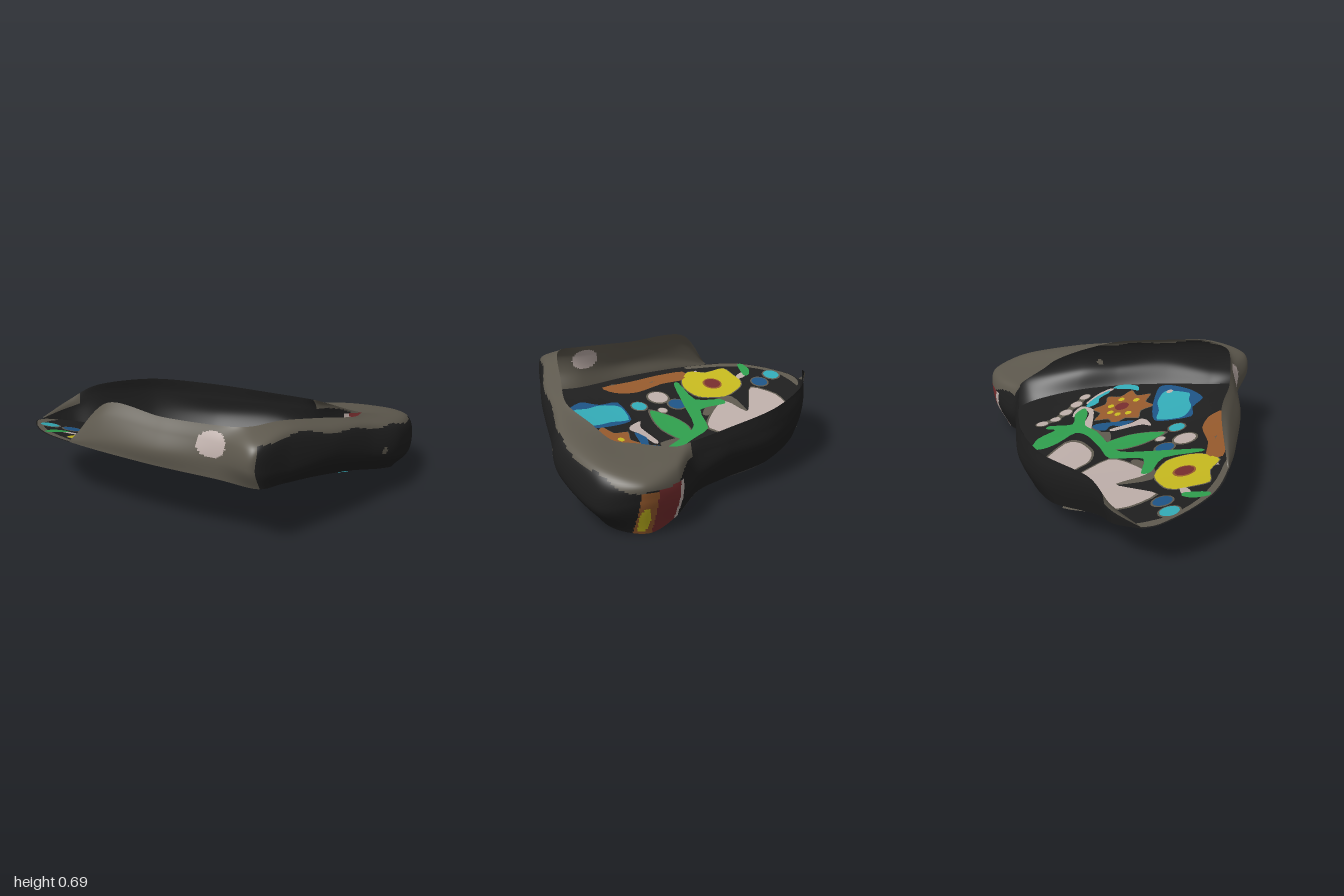
import * as THREE from 'three';
import { mergeGeometries, mergeVertices } from 'three/addons/utils/BufferGeometryUtils.js';

const V = (x, y, z) => new THREE.Vector3(x, y, z);
// Sloping floor: raised along the front, sagging in the middle, swelling beside the toe
const floorY = (x, z) => 0.2 - 0.24 * x + 0.07 * Math.max(0, z) ** 2 * Math.max(0, 1 - x * x) ** 2
  - 0.024 * Math.max(0, 1 - 1.2 * x * x - (z + .2) ** 2)
  + 0.04 * Math.exp(-(((x - .53) / .25) ** 2) - ((z - .15) / .28) ** 2);

function makeMaterials() {
  const colors = {
    black: 0x1f1f1f, taupe: 0x5e594e, offWhite: 0xbdaea9, yellow: 0xc6b91f, green: 0x2f9e4d,
    teal: 0x33abb7, blue: 0x1e5486, orange: 0x965a2d, red: 0x762d2e,
  };
  const mats = {};
  for (const [name, color] of Object.entries(colors)) {
    mats[name] = new THREE.MeshStandardMaterial({ color, side: THREE.DoubleSide });
    mats[name].name = name;
  }
  return mats;
}

// Wall cross-section rows, from the left wall's end, round the front and toe, to the back tip
const BASE = [[-.93, -.4], [-.92, -.15], [-.87, .2], [-.78, .55], [-.75, .8], [-.55, .82], [-.25, .84], [.1, .86],
  [.42, .87], [.72, .8], [.83, .61], [.74, .42], [.56, .22], [.44, 0], [.28, -.34], [.04, -.63], [-.28, -.79],
  [-.42, -.91], [-.6, -.98]].map(([x, z]) => [x, floorY(x, z), z]);
const OUTER = [[-.93, .43, -.4], [-.92, .5, -.15], [-.88, .5, .2], [-.79, .5, .55], [-.8, .5, .8], [-.55, .45, .87],
  [-.22, .42, .93], [.12, .33, .96], [.42, .25, .99], [.8, .18, .88], [.93, .23, .66], [.84, .2, .43], [.63, .21, .24],
  [.51, .25, 0], [.35, .25, -.35], [.09, .3, -.65], [-.26, .37, -.82], [-.42, .36, -.925], [-.6, .347, -.98]];
const SHOULDER = [[-.93, .44, -.39], [-.88, .61, -.17], [-.84, .6, .2], [-.77, .6, .56], [-.78, .62, .8], [-.53, .64, .86],
  [-.2, .57, .92], [.13, .5, .94], [.43, .44, .965], [.78, .38, .85], [.9, .35, .65], [.81, .35, .43], [.62, .34, .26],
  [.51, .35, 0], [.35, .36, -.35], [.1, .41, -.66], [-.25, .45, -.83], [-.42, .4, -.93], [-.6, .35, -.983]];
const RIM = [[-.92, .45, -.38], [-.83, .68, -.18], [-.8, .67, .2], [-.73, .68, .57], [-.67, .69, .7], [-.5, .69, .77],
  [-.2, .63, .82], [.1, .56, .86], [.33, .5, .78], [.49, .44, .7], [.54, .42, .57], [.61, .4, .38], [.59, .41, .26],
  [.49, .43, 0], [.33, .46, -.36], [.08, .5, -.66], [-.25, .51, -.83], [-.41, .43, -.935], [-.6, .352, -.985]];
const ROWS = [BASE, OUTER, SHOULDER, RIM].map(r =>
  new THREE.CatmullRomCurve3(r.map(p => V(...p)), false, 'catmullrom', 0.45));
const STATIONS = BASE.length - 1, SUB = 24;

// Colour of the wall at station s, height fraction v and point p
function wallColor(s, v, p) {
  if (s < 4.1) return ((p.z - .52) / .09) ** 2 + ((p.y - .58) / .07) ** 2 < 1 ? 'offWhite' : 'taupe';
  const z = p.z + .06 * (p.y - .15);
  if (s > 9.3 && s < 12 && v < .62 && p.y < .28 && z < .68) {
    if (((z - .635) / .033) ** 2 + ((p.y - .1) / .085) ** 2 < 1) return 'yellow';
    if (z > .575) return 'orange';
    if (z > .42) return 'red';
    if (z > .392) return 'offWhite';
  }
  if (s < 8 && Math.hypot(p.x - .27, p.y - .33) < .022) return 'taupe';
  const edge = .67 + .025 * Math.sin(s * 5) - .22 * Math.exp(-(((s - 10.3) / 1.1) ** 2));
  if (s < 11.9) return v > edge ? 'taupe' : 'black';
  return s > 16.6 && v > .5 ? 'taupe' : 'black';
}

function makeWall(mats) {
  const nu = STATIONS * SUB, nv = 40, pos = [], names = Object.keys(mats);
  for (let i = 0; i <= nu; i++) {
    const section = new THREE.CatmullRomCurve3(ROWS.map(r => r.getPoint(i / nu)), false, 'catmullrom', 0.5);
    for (let j = 0; j <= nv; j++) pos.push(...section.getPoint(j / nv).toArray());
  }
  const lists = Object.fromEntries(names.map(n => [n, []]));
  const at = k => V(pos[3 * k], pos[3 * k + 1], pos[3 * k + 2]);
  for (let i = 0; i < nu; i++) for (let j = 0; j < nv; j++) {
    const a = i * (nv + 1) + j, b = a + nv + 1;
    const mid = at(a).add(at(b + 1)).multiplyScalar(0.5);
    lists[wallColor((i + .5) / SUB, (j + .5) / nv, mid)].push(a, b, a + 1, b, b + 1, a + 1);
  }
  const geo = new THREE.BufferGeometry();
  const index = [];
  names.forEach((n, k) => {
    geo.addGroup(index.length, lists[n].length, k);
    for (const q of lists[n]) index.push(q);
  });
  geo.setAttribute('position', new THREE.Float32BufferAttribute(pos, 3));
  geo.setIndex(index);
  geo.computeVertexNormals();
  const mesh = new THREE.Mesh(geo, names.map(n => mats[n]));
  mesh.name = 'wall';
  return mesh;
}

// Sheet following the floor, offset by lift; long edges are halved so it bends with the floor
function sheet(points, lift) {
  const flat = new THREE.ShapeGeometry(new THREE.Shape(points.map(([x, z]) => new THREE.Vector2(x, z)))).toNonIndexed();
  const a = flat.attributes.position, pos = [];
  const split = tri => {
    const lengths = tri.map((p, k) => Math.hypot(p[0] - tri[(k + 1) % 3][0], p[1] - tri[(k + 1) % 3][1]));
    const k = lengths.indexOf(Math.max(...lengths));
    const [p, q, r] = [0, 1, 2].map(n => tri[(k + n) % 3]);
    if (lengths[k] < 0.09) {
      for (const [x, z] of tri) pos.push(x, floorY(x, z) + lift, z);
      return;
    }
    const m = [(p[0] + q[0]) / 2, (p[1] + q[1]) / 2];
    split([p, m, r]);
    split([m, q, r]);
  };
  for (let i = 0; i < a.count; i += 3) split([0, 1, 2].map(k => [a.getX(i + k), a.getY(i + k)]));
  const geo = new THREE.BufferGeometry();
  geo.setAttribute('position', new THREE.Float32BufferAttribute(pos, 3));
  const merged = mergeVertices(geo, 1e-5);
  merged.computeVertexNormals();
  return merged;
}

const smooth = pts => new THREE.CatmullRomCurve3(pts.map(([x, z]) => V(x, 0, z)), true, 'catmullrom', 0.4)
  .getPoints(pts.length * 3).slice(0, -1).map(p => [p.x, p.z]);
const ring = (x, z, r, n = 14, r2 = r) => Array.from({ length: n }, (_, i) => {
  const a = i / n * Math.PI * 2, q = i % 2 ? r2 : r;
  return [x + q * Math.cos(a), z + q * Math.sin(a)];
});
const grow = (pts, k) => {
  const c = [0, 1].map(d => pts.reduce((s, p) => s + p[d], 0) / pts.length);
  return pts.map(p => p.map((q, d) => c[d] + (q - c[d]) * k));
};

export function createModel() {
  const model = new THREE.Group(), mats = makeMaterials();
  model.add(makeWall(mats));

  // Floor: wall base line closed by the open back-left edge
  const base = ROWS[0].getPoints(STATIONS * 6).map(p => [p.x, p.z]);
  const open = new THREE.CatmullRomCurve3([[-.6, -.98], [-.68, -.95], [-.8, -.82], [-.9, -.65],
    [-.93, -.5], [-.93, -.4]].map(([x, z]) => V(x, 0, z))).getPoints(30).slice(1, -1).map(p => [p.x, p.z]);
  const floor = new THREE.Mesh(sheet([...base, ...open], 0), mats.black);
  floor.name = 'floor';
  model.add(floor);

  // Painted pattern, laid on both faces of the floor
  const paint = (name, color, pts, layer = 2) => {
    const outline = smooth(pts), lift = 0.002 + layer * 0.0017;
    const mesh = new THREE.Mesh(mergeGeometries([sheet(outline, lift), sheet(outline, -lift)]), mats[color]);
    mesh.name = name;
    model.add(mesh);
  };
  const outlined = (name, color, pts, k = 1.1) => {
    paint(name + 'Outline', 'taupe', grow(pts, k), 0);
    paint(name, color, pts, 1);
  };
  paint('edgeBand', 'taupe', [[-.92, -.5], [-.89, -.65], [-.8, -.81], [-.68, -.94], [-.59, -.965], [-.52, -.93],
    [-.6, -.91], [-.72, -.85], [-.83, -.69], [-.88, -.48], [-.89, -.25], [-.92, -.25]], 0);

  // White blossom with red streak
  outlined('largePetal', 'offWhite', [[-.57, -.6], [-.45, -.73], [-.27, -.75], [-.06, -.69], [-.1, -.6], [.04, -.45],
    [-.02, -.3], [-.15, -.13], [-.3, -.2], [-.45, -.35], [-.29, -.45], [-.42, -.52]], 1.05);
  paint('petalGap', 'taupe', [[-.5, -.42], [-.3, -.46], [-.27, -.43], [-.42, -.36], [-.4, -.28], [-.3, -.18], [-.33, -.15],
    [-.46, -.25]], 0);
  outlined('sidePetal', 'offWhite', [[.02, -.38], [.15, -.38], [.28, -.28], [.3, -.18], [.22, .1], [.12, .11], [0, -.02],
    [-.02, -.15], [.04, -.25]], 1.1);
  paint('redStreak', 'red', [[-.13, -.65], [-.05, -.64], [-.02, -.58], [.06, -.55], [.13, -.47], [.2, -.41], [.18, -.35],
    [.05, -.41], [-.11, -.43], [-.1, -.49], [-.02, -.53]]);

  // Branch and leaves
  paint('branchHighlight', 'offWhite', [[.1, .24], [.18, .36], [.19, .5], [.25, .57], [.29, .46], [.31, .54], [.28, .61],
    [.18, .56], [.13, .4]], 1);
  paint('branch', 'green', [[-.72, -.12], [-.5, -.16], [-.47, -.33], [-.41, -.34], [-.37, -.15], [-.15, -.12], [-.04, .03],
    [.1, .2], [.2, .24], [.27, .1], [.34, .02], [.42, .01], [.42, .14], [.35, .27], [.42, .28], [.41, .33], [.26, .36],
    [.29, .5], [.25, .58], [.2, .5], [.17, .35], [.05, .25], [-.08, .08], [-.2, -.04], [-.45, -.06], [-.7, -.08]]);
  outlined('leaf', 'green', [[-.42, .18], [-.32, .06], [-.2, 0], [-.07, .02], [-.06, .1], [-.18, .18], [-.3, .2]]);
  paint('smallLeafHighlight', 'offWhite', [[-.78, -.63], [-.72, -.62], [-.69, -.54], [-.74, -.56]], 1);
  paint('smallLeaf', 'green', [[-.88, -.66], [-.8, -.68], [-.73, -.65], [-.73, -.61], [-.87, -.62]]);

  // Yellow flower
  paint('yellowFlowerHighlight', 'offWhite', [[-.86, -.3], [-.8, -.28], [-.76, -.17], [-.8, -.2]], 0);
  outlined('yellowFlower', 'yellow', [[-.68, -.56], [-.6, -.53], [-.5, -.38], [-.53, -.2], [-.65, -.14], [-.76, -.16],
    [-.85, -.24], [-.82, -.36], [-.85, -.5], [-.75, -.54]], 1.04);
  paint('yellowFlowerRing', 'orange', ring(-.67, -.35, .067), 2);
  paint('yellowFlowerCentre', 'red', ring(-.67, -.35, .055), 3);

  // Orange star flower
  outlined('starFlower', 'orange', ring(-.03, .56, .21, 16, .15), 1.04);
  paint('starCentre', 'red', ring(-.02, .57, .047));
  [[-.09, .48], [-.02, .47], [.04, .5], [-.1, .64], [.01, .66], [.06, .58]]
    .forEach(([x, z]) => paint('starDot', 'yellow', ring(x, z, .022, 8)));

  // Blue block, orange side patch and strokes
  paint('blueBlock', 'blue', [[-.54, .37], [-.33, .34], [-.27, .43], [-.23, .6], [-.22, .79], [-.3, .81], [-.45, .74],
    [-.56, .62], [-.52, .5]], 1);
  paint('tealBlock', 'teal', [[-.5, .4], [-.46, .36], [-.32, .36], [-.3, .48], [-.26, .6], [-.28, .73], [-.45, .69],
    [-.47, .6], [-.51, .5]]);
  paint('blockSpot', 'offWhite', ring(-.31, .72, .022, 8), 3);
  paint('sidePatch', 'orange', [[-.86, -.2], [-.76, -.18], [-.73, 0], [-.65, .2], [-.66, .35], [-.74, .42], [-.79, .2],
    [-.84, 0]], 1);
  paint('blueStroke', 'blue', [[-.17, .37], [-.1, .31], [-.02, .32], [.0, .26], [.07, .28], [.11, .33], [.07, .36],
    [-.06, .37]]);
  paint('whiteStroke', 'offWhite', [[-.3, .29], [-.22, .31], [-.06, .25], [-.03, .28], [-.15, .34], [-.2, .39],
    [-.25, .37]], 1);
  paint('taupeStroke', 'taupe', [[-.08, .12], [-.04, .13], [.06, .26], [.12, .3], [.1, .33], [.02, .25], [-.04, .24]], 0);
  paint('tealStroke', 'teal', [[-.08, .76], [0, .79], [.07, .8], [.12, .82], [.09, .85], [.02, .85], [-.06, .82]]);
  paint('tealHook', 'teal', [[.17, .64], [.22, .59], [.25, .62], [.21, .72], [.14, .79], [.13, .76], [.18, .7]]);
  paint('hookHighlight', 'offWhite', [[.24, .64], [.26, .66], [.21, .76], [.14, .82], [.11, .8], [.19, .72]], 1);

  // Round spots
  [['teal', -.7, -.81, .055], ['blue', -.63, -.69, .055], ['blue', -.47, -.02, .057], ['offWhite', -.57, .08, .067],
    ['teal', -.48, .24, .05], ['taupe', -.78, .06, .03], ['taupe', -.74, .33, .03], ['offWhite', -.41, .1, .03],
    ['offWhite', .48, .37, .04], ['offWhite', .41, .44, .035], ['offWhite', .37, .54, .042],
    ['offWhite', .33, .645, .04], ['offWhite', .3, .74, .035]]
    .forEach(([color, x, z, r]) => outlined('spot', color, ring(x, z, r, 10), 1.2));
  // Taupe links between the chain of white spots
  [[.445, .405], [.39, .49], [.35, .6], [.315, .69]].forEach(([x, z]) => paint('spotLink', 'taupe', ring(x, z, .03, 8), 0));
  return model;
}
